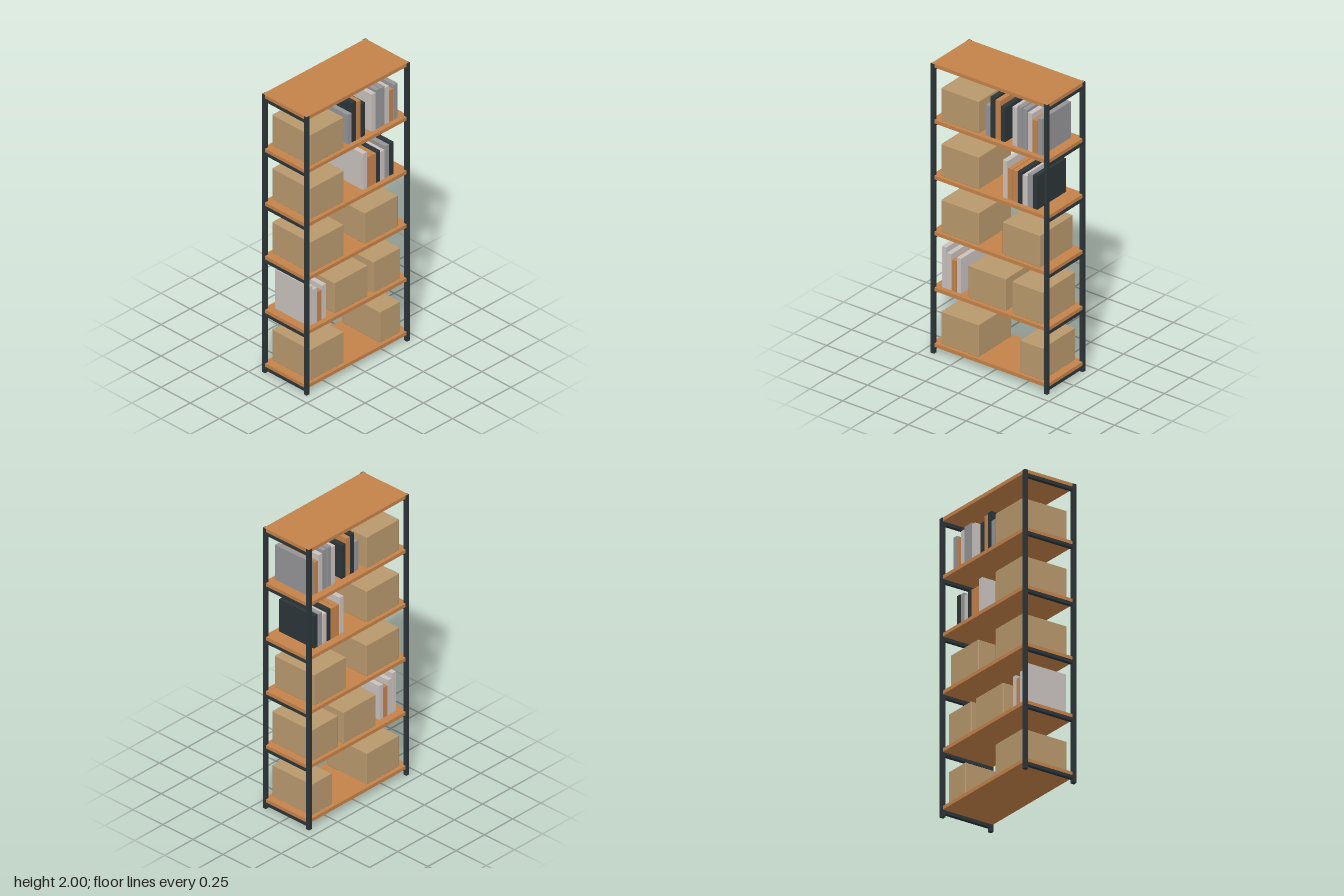
import * as THREE from 'three';
import { RoundedBoxGeometry } from 'three/addons/geometries/RoundedBoxGeometry.js';

const material = (name, color) => {
  const m = new THREE.MeshStandardMaterial({ color });
  m.name = name;
  return m;
};

export function createModel() {
  const wood = material('wood', 0xc48249);
  const metal = material('dark metal', 0x2b3538);
  const card = material('cardboard', 0xb8986c);
  const grey = material('grey cover', 0x949396);
  const light = material('light cover', 0xc8c1be);

  const group = new THREE.Group();
  group.name = 'shelvingUnit';

  // Box given by its limits on each axis
  const block = (name, mat, [x0, x1], [y0, y1], [z0, z1], radius = 0) => {
    const size = [x1 - x0, y1 - y0, z1 - z0];
    const geometry = radius
      ? new RoundedBoxGeometry(...size, 1, radius)
      : new THREE.BoxGeometry(...size);
    const mesh = new THREE.Mesh(geometry, mat);
    mesh.name = name;
    mesh.position.set((x0 + x1) / 2, (y0 + y1) / 2, (z0 + z1) / 2);
    group.add(mesh);
  };

  const halfW = 0.443, halfD = 0.192, post = 0.025;
  const shelfTop = (i) => 0.07 + i * 0.386;

  // Four corner posts, just under the top board's surface
  for (const sx of [-1, 1]) {
    for (const sz of [-1, 1]) {
      const x = sx * (halfW - post / 2), z = sz * (halfD - post / 2);
      block('post', metal, [x - post / 2, x + post / 2], [0, 1.999], [z - post / 2, z + post / 2]);
    }
  }

  // Boards, each carried by a rail at either end
  for (let i = 0; i < 6; i++) {
    const y = shelfTop(i);
    block('shelfBoard', wood, [-0.44, 0.44], [y - 0.024, y], [-0.187, 0.187]);
    for (const sx of [-1, 1]) {
      const x = sx * (halfW - post / 2);
      block('sideRail', metal, [x - post / 2, x + post / 2], [y - 0.046, y - 0.024], [post - halfD, halfD - post]);
    }
  }

  // Cardboard boxes: shelf, left edge, right edge
  const boxes = [
    [0, -0.384, -0.098], [0, 0.214, 0.389],
    [1, -0.177, 0.108], [1, 0.156, 0.389],
    [2, -0.384, -0.098], [2, 0.082, 0.368],
    [3, -0.384, -0.098], [4, -0.384, -0.098],
  ];
  for (const [i, x0, x1] of boxes) {
    block('storageBox', card, [x0, x1], [shelfTop(i), shelfTop(i) + 0.222], [-0.164, 0.164], 0.004);
  }

  // Rows of books: centre x, height, cover
  const rows = {
    1: [[-0.37, 0.282, light], [-0.333, 0.248, light], [-0.294, 0.214, wood], [-0.256, 0.242, light]],
    3: [
      [0.094, 0.259, light], [0.134, 0.216, wood], [0.172, 0.216, wood], [0.208, 0.219, metal],
      [0.245, 0.206, light], [0.285, 0.227, grey], [0.323, 0.23, metal],
    ],
    4: [
      [-0.037, 0.211, grey], [0.001, 0.28, metal], [0.039, 0.27, wood], [0.078, 0.238, metal],
      [0.168, 0.266, light], [0.205, 0.28, grey], [0.245, 0.278, grey], [0.284, 0.263, light],
      [0.32, 0.226, wood], [0.359, 0.249, grey],
    ],
  };
  for (const [i, books] of Object.entries(rows)) {
    for (const [x, height, cover] of books) {
      block('book', cover, [x - 0.0165, x + 0.0165], [shelfTop(i), shelfTop(i) + height], [-0.136, 0.154]);
    }
  }

  return group;
}
